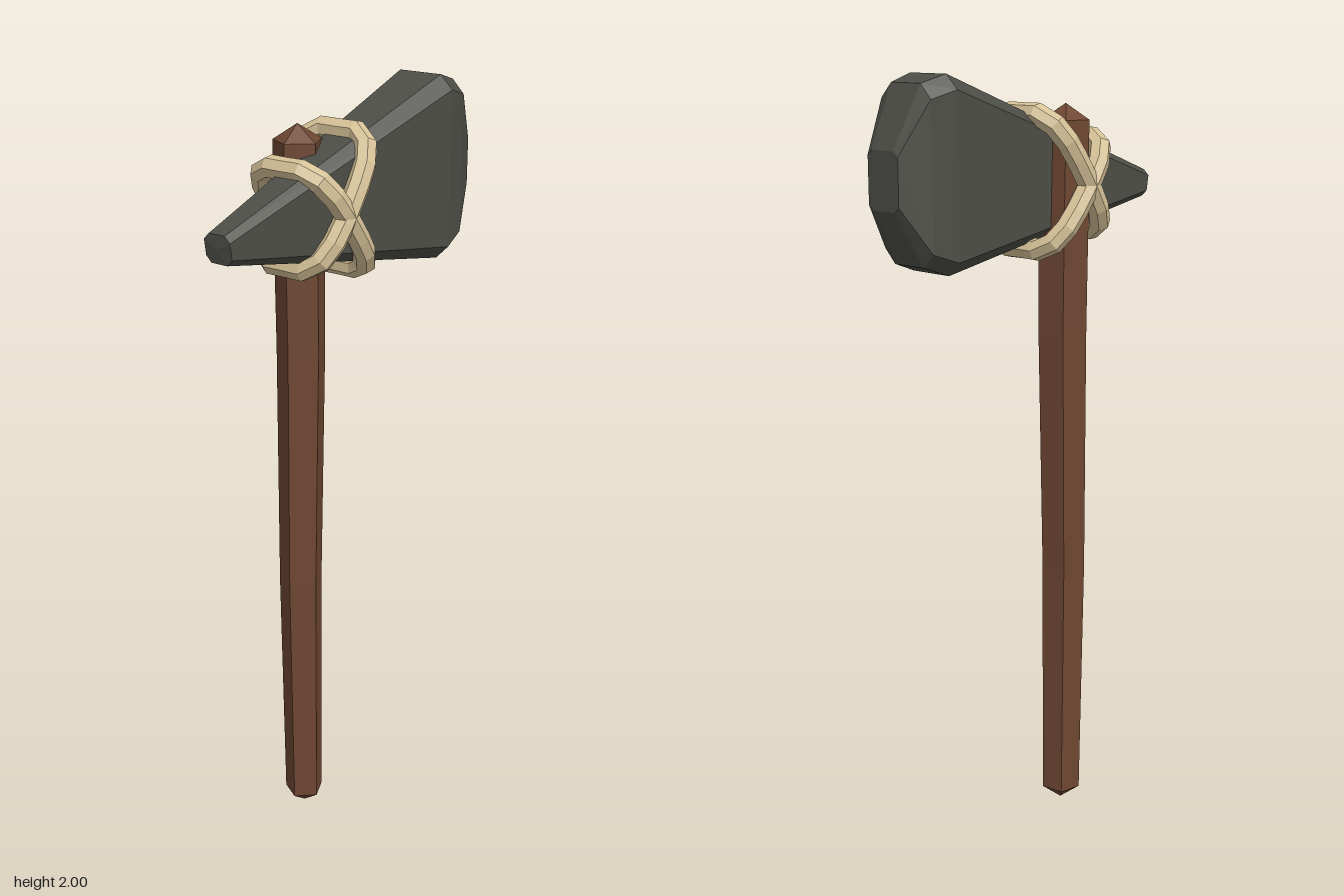
import * as THREE from 'three';

// Skin a list of rings (arrays of Vector3), closing each end with a fan to an apex
function loft(rings, startApex, endApex) {
  const pos = [];
  const tri = (...pts) => pts.forEach((p) => pos.push(p.x, p.y, p.z));
  const n = rings[0].length;
  const last = rings[rings.length - 1];
  for (let j = 0; j < n; j++) {
    const k = (j + 1) % n;
    for (let i = 0; i < rings.length - 1; i++) {
      const a = rings[i], b = rings[i + 1];
      tri(a[j], a[k], b[k]);
      tri(a[j], b[k], b[j]);
    }
    tri(startApex, rings[0][k], rings[0][j]);
    tri(endApex, last[j], last[k]);
  }
  const g = new THREE.BufferGeometry();
  g.setAttribute('position', new THREE.Float32BufferAttribute(pos, 3));
  g.computeVertexNormals();
  return g;
}

const V = (x, y, z) => new THREE.Vector3(x, y, z);
const material = (color) => new THREE.MeshStandardMaterial({ color, flatShading: true });

function addMesh(group, name, geometry, mat) {
  const mesh = new THREE.Mesh(geometry, mat);
  mesh.name = name;
  group.add(mesh);
}

// Five-sided, slightly crooked wooden shaft with pointed ends
function handleGeometry() {
  const sections = [ // y, centre x, radius
    [0.04, -0.09, 0.053], [0.7, -0.094, 0.059], [1.35, -0.084, 0.065],
    [1.6, -0.086, 0.066], [1.88, -0.09, 0.063],
  ];
  const rings = sections.map(([y, x, r]) => Array.from({ length: 5 }, (_, i) => {
    const a = 0.47 - (i * Math.PI * 2) / 5;
    return V(x + r * Math.cos(a), y, -0.046 + r * Math.sin(a));
  }));
  return loft(rings, V(-0.09, 0, -0.045), V(-0.09, 1.92, -0.048));
}

// Stone wedge made of chamfered rectangles along x
function headGeometry() {
  const sections = [ // x, bottom y, top y, half thickness, chamfer y, chamfer z
    [-0.45, 1.66, 1.73, 0.04, 0.015, 0.016],
    [0.31, 1.53, 2.0, 0.1, 0.035, 0.037],
    [0.38, 1.555, 1.98, 0.086, 0.035, 0.035],
    [0.455, 1.69, 1.83, 0.053, 0.012, 0.015],
  ];
  const zc = 0.02;
  const rings = sections.map(([x, y0, y1, h, cy, cz], i) => [
    [y1, -h + cz], [y1, h - cz], [y1 - cy, h], [y0 + cy, h],
    [y0, h - cz], [y0, -h + cz], [y0 + cy, -h], [y1 - cy, -h],
  ].map(([y, z]) => V(i === 0 && y < 1.695 ? x + 0.006 : x, y, zc + z)));
  return loft(rings, V(-0.45, 1.695, zc), V(0.455, 1.76, zc));
}

// Closed cord loop lying in the plane of z and the diagonal (dx, dy)
function loopGeometry(cx, cy, dx, dy) {
  const quarter = [[1, 0], [0.98, 0.066], [0.72, 0.103], [0, 0.116]];
  const half = [...quarter, ...quarter.slice(1, 3).reverse().map(([s, z]) => [-s, z])];
  const path = [...half, ...half.map(([s, z]) => [-s, -z])]
    .map(([s, z]) => V(cx + s * dx, cy + s * dy, z));
  const curve = new THREE.CatmullRomCurve3(path, true);
  return new THREE.TubeGeometry(curve, 20, 0.029, 7, true);
}

export function createModel() {
  const group = new THREE.Group();
  group.name = 'stoneAxe';
  addMesh(group, 'handle', handleGeometry(), material(0x6e4732));
  addMesh(group, 'stoneHead', headGeometry(), material(0x4d4e47));

  // Two crossed cord loops bind the head to the handle
  const rope = material(0xd6c298);
  addMesh(group, 'risingLashing', loopGeometry(-0.087, 1.747, 0.1, 0.148), rope);
  addMesh(group, 'fallingLashing', loopGeometry(-0.087, 1.697, 0.1, -0.133), rope);
  return group;
}
